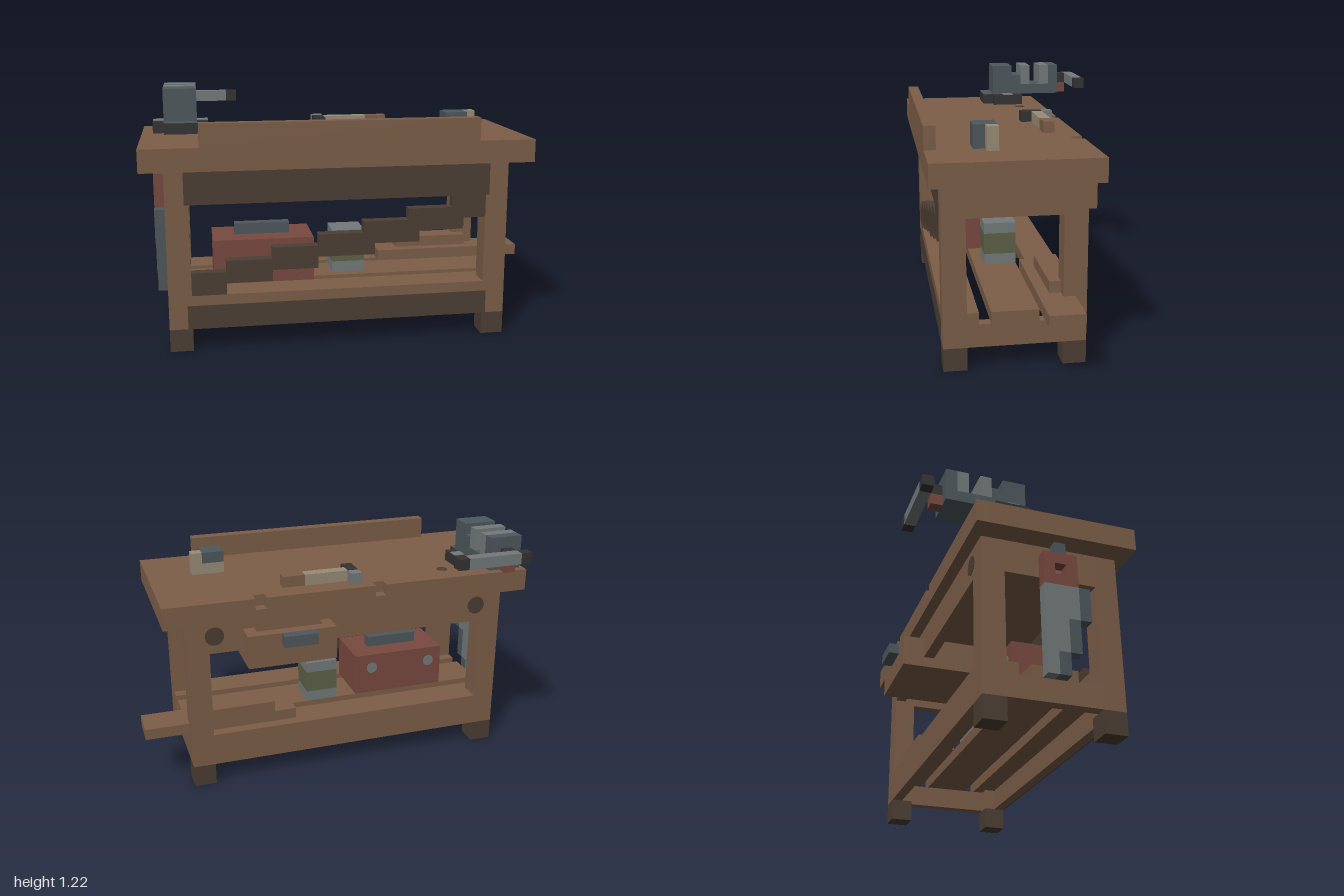
import * as THREE from 'three';

const U = 1 / 18; // one block of the modelling grid

export function createModel() {
  const mat = (name, color) => {
    const m = new THREE.MeshStandardMaterial({ color });
    m.name = name;
    return m;
  };
  const wood = mat('wood', 0x7d5f48), darkWood = mat('dark wood', 0x4d3f34);
  const steel = mat('steel', 0x4e585d), lightSteel = mat('light steel', 0x747b7c);
  const iron = mat('black iron', 0x333334), red = mat('red paint', 0x7a4a40);
  const green = mat('green label', 0x5d6248), tan = mat('pale wood', 0x9a8d77);

  const model = new THREE.Group();
  model.name = 'workbench';
  const part = (name) => {
    const g = new THREE.Group();
    g.name = name;
    model.add(g);
    return g;
  };
  // Box given by its extents in grid blocks
  const box = (parent, name, m, x0, x1, y0, y1, z0, z1) => {
    const mesh = new THREE.Mesh(new THREE.BoxGeometry((x1 - x0) * U, (y1 - y0) * U, (z1 - z0) * U), m);
    mesh.position.set((x0 + x1) / 2 * U, (y0 + y1) / 2 * U, (z0 + z1) / 2 * U);
    mesh.name = name;
    parent.add(mesh);
    return mesh;
  };
  // Thin round painted spot, facing back or up
  const spot = (parent, name, m, x, y, z, r, up) => {
    const mesh = new THREE.Mesh(new THREE.CylinderGeometry(r * U, r * U, 0.004, 16), m);
    mesh.position.set(x * U, y * U, z * U);
    if (!up) mesh.rotation.x = Math.PI / 2;
    mesh.name = name;
    parent.add(mesh);
  };

  // Table top with two notches along the back edge
  const top = part('tableTop');
  box(top, 'topSlab', wood, -18, 16, 16, 18, -4, 9);
  box(top, 'backEdge', wood, -18, 16, 16, 17, -5, -4);
  for (const [a, b] of [[-18, -4], [-3, 7], [8, 16]]) box(top, 'backEdgeUpper', wood, a, b, 17, 18, -5, -4);
  box(top, 'frontLedge', wood, -13, 11, 18, 20, 8, 9);
  spot(top, 'knot', darkWood, -10.5, 18, -2.5, 0.5, true);

  // Legs with dark feet
  const frame = part('frame');
  for (const x of [-16, 12]) for (const z of [-4, 6]) {
    box(frame, 'foot', darkWood, x, x + 2, 0, 2, z, z + 2);
    box(frame, 'leg', wood, x, x + 2, 2, 16, z, z + 2);
  }
  // Rails
  box(frame, 'frontUpperRail', darkWood, -14, 12, 13, 16, 7, 8);
  box(frame, 'frontUpperPaint', darkWood, -14.4, 12.3, 13, 16, 7.95, 8.05);
  box(frame, 'frontLowerRail', wood, -14, 12, 2, 4, 7, 8);
  box(frame, 'frontLowerPaint', darkWood, -14.4, 12.3, 2, 4.1, 7.95, 8.05);
  box(frame, 'backUpperRail', wood, -14, 12, 13, 16, -4, -3);
  box(frame, 'backLowerRail', wood, -14, 12, 2, 4, -4, -3);
  for (const x of [-16, 13]) {
    box(frame, 'endUpperRail', wood, x, x + 1, 13, 16, -2, 6);
    box(frame, 'endLowerRail', wood, x, x + 1, 2, 4, -2, 6);
  }
  for (const x of [-13.5, 11.5]) spot(frame, 'backPeg', darkWood, x, 14.6, -4, 0.85);
  // Shelf planks with gaps
  for (const [a, b] of [[5, 8], [0, 4], [-4, -1]]) box(frame, 'shelfPlank', wood, -16, 14, 4, 5, a, b);
  // Stepped diagonal brace
  for (let i = 0; i < 7; i++) {
    box(frame, 'braceStep', darkWood, Math.max(-14, -15 + 4 * i),
      Math.min(12, -11 + 4 * i + (i > 2 ? 1 : 0)), 5 + i, 7 + i, 7, 8.03);
  }

  // Drawer pulled out at the back
  const drawer = part('drawer');
  box(drawer, 'drawerFloor', wood, 1, 9, 12, 13, -6, 3);
  box(drawer, 'drawerFace', wood, 1, 9, 13, 15, -6, -5);
  box(drawer, 'drawerEnd', wood, 1, 9, 13, 15, 2, 3);
  for (const x of [1, 8]) box(drawer, 'drawerSide', wood, x, x + 1, 13, 15, -5, 2);
  box(drawer, 'drawerHandle', steel, 3, 6, 14, 15, -7, -6);

  // Toolbox
  const toolbox = part('toolbox');
  box(toolbox, 'toolboxBody', red, -12, -3, 5, 9, 0, 5);
  box(toolbox, 'toolboxHandle', steel, -10, -5, 9, 10, 2, 3);
  for (const x of [-10.7, -4.7]) spot(toolbox, 'latch', lightSteel, x, 7.6, 0, 0.55);

  // Paint can with a label band
  const can = part('paintCan');
  box(can, 'canBase', lightSteel, -1, 2, 5, 6, 0, 3);
  box(can, 'canLabel', green, -1, 2, 6, 8, 0, 3);
  box(can, 'canTop', lightSteel, -1, 2, 8, 9, 0, 3);

  // Loose boards on the shelf
  const boards = part('boards');
  box(boards, 'longBoard', wood, 4, 18, 5, 6, -3, 0);
  box(boards, 'shortBoard', wood, 6, 13, 6, 7, -3, -1);

  // Saw hanging on the right end
  const saw = part('saw');
  for (const [y0, y1, z] of [[9, 12, 4], [6, 9, 3], [4, 6, 2]]) {
    box(saw, 'blade', lightSteel, -17, -16, y0, y1, 1, z);
    box(saw, 'bladeSpine', steel, -17, -16, y0, y1, z, z + 1);
  }
  box(saw, 'gripBottom', red, -17, -16, 12, 13, 1, 4);
  box(saw, 'gripTop', red, -17, -16, 14, 15, 1, 4);
  for (const z of [1, 3]) box(saw, 'gripSide', red, -17, -16, 13, 14, z, z + 1);
  box(saw, 'hook', steel, -17, -16, 15, 16, 2, 3);

  // Bench vise
  const vise = part('vise');
  box(vise, 'viseBase', iron, -16, -13, 18, 19, -3, 1);
  box(vise, 'viseFootTop', steel, -16, -13, 19, 19.05, 0, 1);
  for (const x of [-17, -13]) {
    box(vise, 'viseEar', iron, x, x + 1, 18, 19, -3, 0);
    box(vise, 'viseBolt', lightSteel, x, x + 1, 19, 19.08, -2, -1);
  }
  box(vise, 'viseBody', steel, -16, -13, 19, 22, -2, 0);
  box(vise, 'viseShoulder', steel, -16, -13, 19, 21, -3, -2);
  box(vise, 'viseSlide', steel, -16, -13, 19, 20, -7, -3);
  box(vise, 'fixedJaw', lightSteel, -16, -13, 20, 22, -4, -3);
  box(vise, 'movingJaw', lightSteel, -16, -13, 20, 22, -6, -5);
  box(vise, 'movingJawBack', steel, -16, -13, 20, 22, -7, -6);
  box(vise, 'viseScrew', iron, -15, -14, 20, 21, -8, -7);
  box(vise, 'viseRelease', red, -15, -14, 19, 20, -8, -7);
  box(vise, 'viseHandle', lightSteel, -15, -10, 20, 21, -9, -8);
  for (const x of [-16, -10]) box(vise, 'viseHandleKnob', iron, x, x + 1, 20, 21, -9, -8);

  // Hammer lying on the top
  const hammer = part('hammer');
  box(hammer, 'hammerHead', iron, -2, -1, 18, 19, -3, -1);
  box(hammer, 'hammerClaw', lightSteel, -2, -1, 18, 19, -4, -3);
  box(hammer, 'hammerHandle', tan, -1, 3, 18, 19, -3, -2);
  box(hammer, 'hammerGrip', wood, 3, 5, 18, 19, -3, -2);

  // Tape measure
  const tape = part('tapeMeasure');
  box(tape, 'tapeCase', steel, 9, 11, 19, 20, 3, 5);
  box(tape, 'tapeCaseFront', steel, 9, 11, 18, 19, 4, 5);
  box(tape, 'tapeCaseBack', tan, 9, 11, 18, 19, 3, 4);
  box(tape, 'tapeEnd', tan, 11, 12, 18, 20, 3, 4);

  return model;
}
